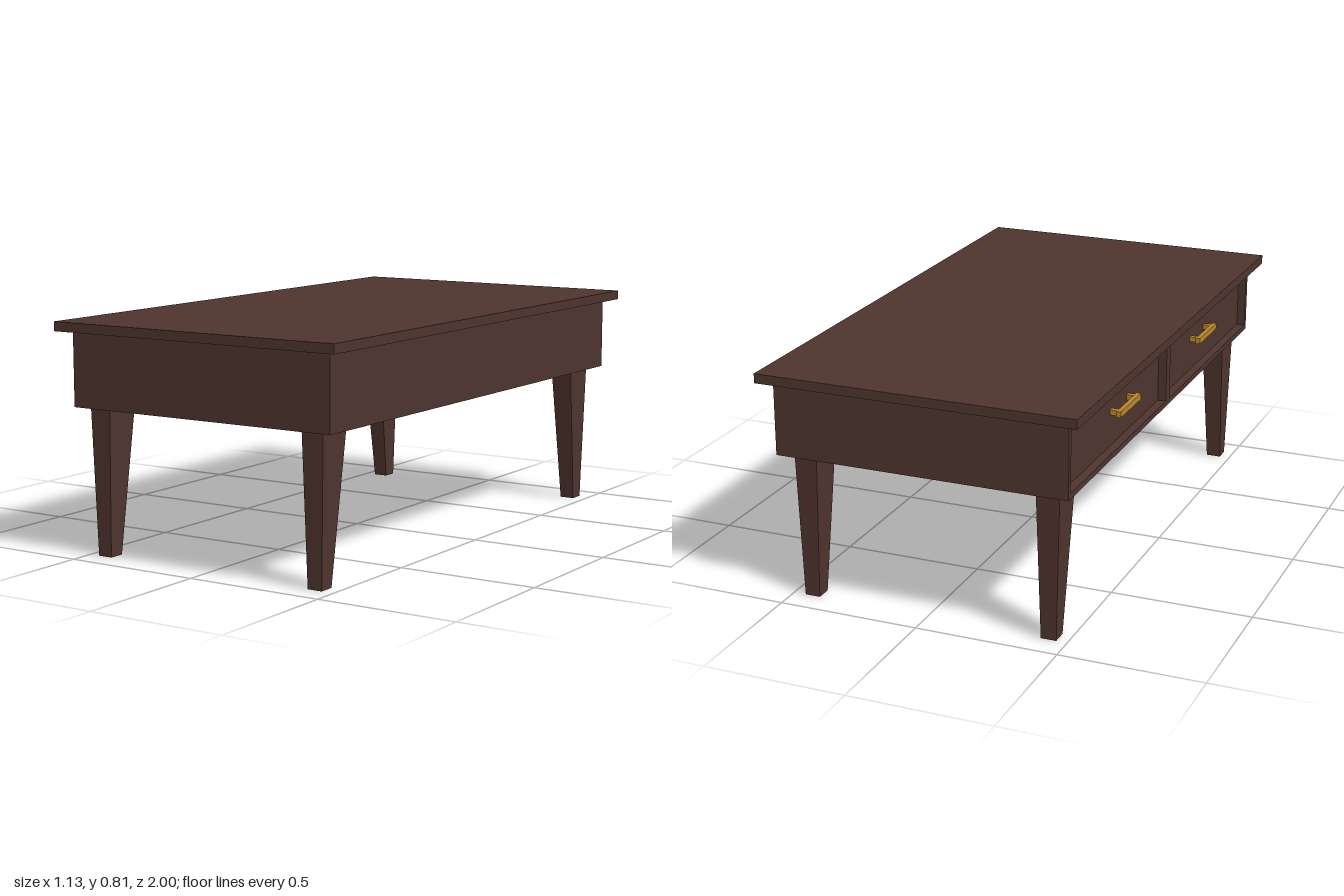
import * as THREE from 'three';

export function createModel() {
  const wood = new THREE.MeshStandardMaterial({ name: 'dark wood', color: 0x4e342e });
  const brass = new THREE.MeshStandardMaterial({ name: 'brass', color: 0xb8862b });
  const table = new THREE.Group();
  table.name = 'coffeeTable';

  const add = (parent, name, geometry, material, x = 0, y = 0, z = 0) => {
    const mesh = new THREE.Mesh(geometry, material);
    mesh.name = name;
    mesh.position.set(x, y, z);
    parent.add(mesh);
    return mesh;
  };
  const box = (w, h, d) => new THREE.BoxGeometry(w, h, d);

  // Overhanging slab
  add(table, 'tableTop', box(1.126, 0.033, 2), wood, 0, 0.7925, 0);

  // Body: solid core with a drawer frame on the -x side
  const bottom = 0.516, top = 0.776, halfX = 0.519, halfZ = 0.955;
  const recess = 0.03, rim = 0.02;
  add(table, 'body', box(2 * halfX - recess, top - bottom, 2 * halfZ), wood,
    recess / 2, (top + bottom) / 2, 0);

  const rectangle = (path, z0, y0, z1, y1) =>
    path.moveTo(z0, y0).lineTo(z1, y0).lineTo(z1, y1).lineTo(z0, y1).closePath();
  const outline = rectangle(new THREE.Shape(), -halfZ, bottom, halfZ, top);
  for (const [z0, z1] of [[-halfZ + rim, -rim], [rim, halfZ - rim]]) {
    outline.holes.push(rectangle(new THREE.Path(), z0, bottom + rim, z1, top - rim));
  }
  const frame = new THREE.ExtrudeGeometry(outline, { depth: recess, bevelEnabled: false });
  frame.rotateY(-Math.PI / 2);
  add(table, 'drawerFrame', frame, wood, -halfX + recess);

  // Bar handles on two posts
  for (const side of [-1, 1]) {
    const handle = new THREE.Group();
    handle.name = 'drawerHandle';
    handle.position.set(-0.489, 0.656, side * 0.42);
    add(handle, 'handleBar', box(0.016, 0.021, 0.2), brass, -0.034);
    for (const end of [-1, 1]) {
      add(handle, 'handlePost', box(0.03, 0.018, 0.02), brass, -0.013, 0, end * 0.08);
    }
    table.add(handle);
  }

  // Tapered legs: the inner face leans more along z than the outer face
  const legHeight = bottom + 0.004;
  for (const sx of [-1, 1]) {
    for (const sz of [-1, 1]) {
      const leg = box(1, legHeight, 1);
      const p = leg.attributes.position;
      for (let i = 0; i < p.count; i++) {
        const upper = p.getY(i) > 0;
        const width = upper ? 0.082 : 0.054;
        const depth = upper ? 0.134 : 0.056;
        const centre = upper ? 0.854 : 0.883;
        p.setX(i, p.getX(i) * width);
        p.setZ(i, p.getZ(i) * depth + sz * centre);
      }
      leg.computeVertexNormals();
      add(table, 'leg', leg, wood, sx * 0.432 - 0.003, legHeight / 2, 0);
    }
  }
  return table;
}
